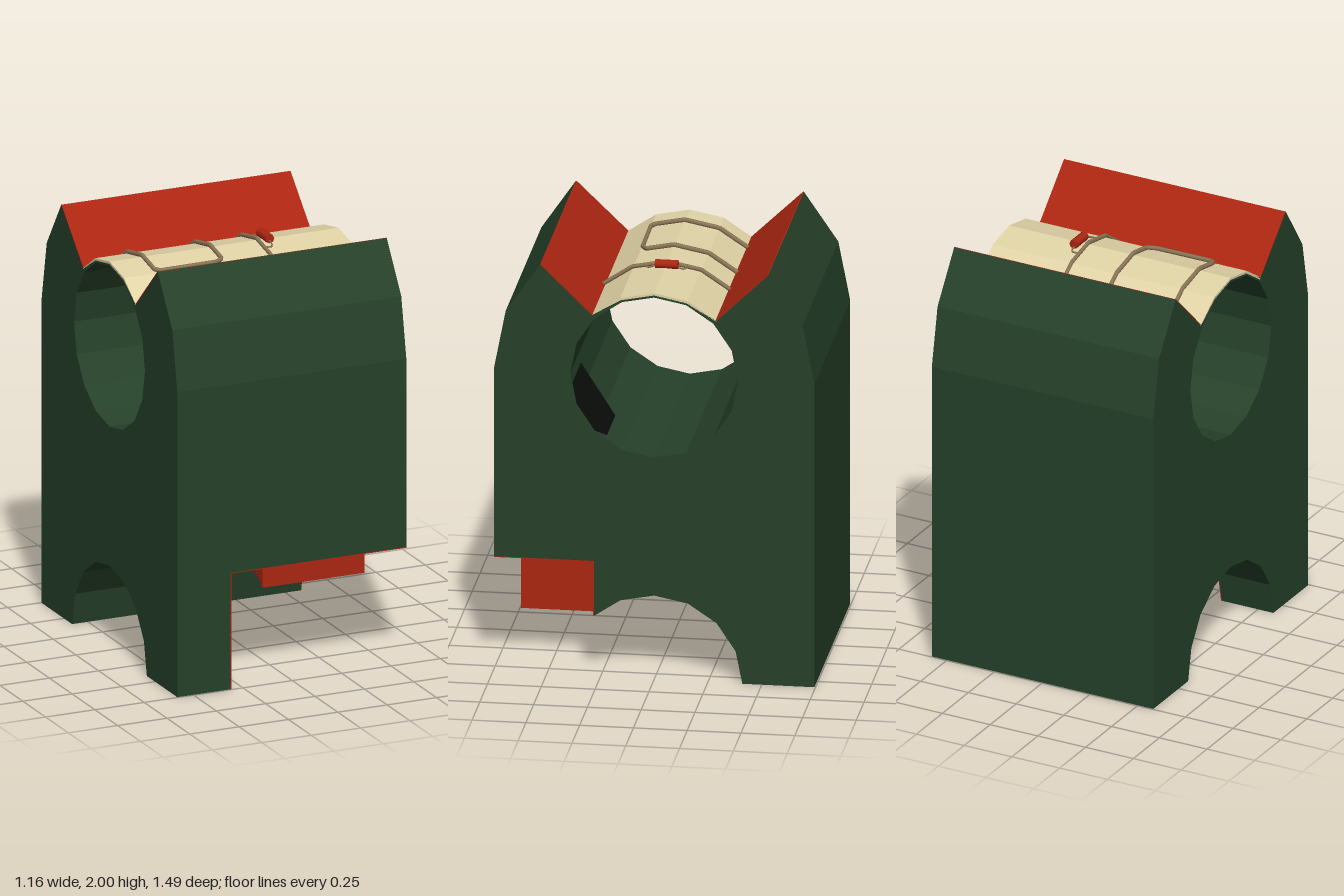
import * as THREE from 'three';

const mat = (name, color) => Object.assign(new THREE.MeshStandardMaterial({ color }), { name });

// Point on a 16-sided circle; u runs towards the back (u = -z)
const ring = (r, cy, i) => new THREE.Vector2(r * Math.cos(i * Math.PI / 8), cy + r * Math.sin(i * Math.PI / 8));
const HALF = 0.58, BORE_Y = 1.475, CEIL = 0.565, ARCH_R = 0.41;

// Height at |z| on a 16-sided arc
function arcHeight(r, cy, z) {
  const a = Math.abs(z);
  for (let i = 4; i > 0; i--) {
    const p = ring(r, cy, i), q = ring(r, cy, i - 1);
    if (a <= q.x) return p.y + (q.y - p.y) * (a - p.x) / (q.x - p.x);
  }
  return cy;
}

export function createModel() {
  const model = new THREE.Group();
  model.name = 'cutawayBlock';
  const green = mat('dark green', 0x26412a);
  const red = mat('cut red', 0xac2611);
  const cream = mat('cream', 0xe0d3a6);
  const brown = mat('wire brown', 0x8c7656);
  const black = mat('black', 0x0b0d0b);

  const add = (name, geo, material) => {
    const m = new THREE.Mesh(geo, material);
    m.name = name;
    model.add(m);
    return m;
  };
  // Extrude a side profile (u, y) from x0 to x1
  const slab = (name, shape, x0, x1, material) => {
    const g = new THREE.ExtrudeGeometry(shape, { depth: x1 - x0, bevelEnabled: false });
    g.translate(0, 0, x0).rotateY(Math.PI / 2);
    return add(name, g, material);
  };
  const poly = pts => new THREE.Shape(pts.map(p => Array.isArray(p) ? new THREE.Vector2(...p) : p));
  const box = (name, x0, x1, y0, y1, z0, z1, material) => {
    const g = new THREE.BoxGeometry(x1 - x0, y1 - y0, z1 - z0);
    return add(name, g.translate((x0 + x1) / 2, (y0 + y1) / 2, (z0 + z1) / 2), material);
  };

  // Side profile of the block; cut is the z where the front notch stops
  const profile = cut => {
    const pts = [[0.41, 0], [0.745, 0], [0.745, 1.48], [0.69, 1.765], [0.53, 2], [0.29, 1.765],
      ring(0.4, BORE_Y, 3), ring(0.4, BORE_Y, 4), ring(0.4, BORE_Y, 5),
      [-0.29, 1.765], [-0.53, 2], [-0.69, 1.765], [-0.745, 1.48]];
    if (cut) pts.push([-0.745, CEIL], [-cut, CEIL], [-cut, arcHeight(ARCH_R, 0, cut)]);
    else pts.push([-0.745, 0], [-0.41, 0]);
    for (let i = 7; i > 0; i--) {
      const p = ring(ARCH_R, 0, i);
      if (!cut || p.x > -cut) pts.push(p);
    }
    const s = poly(pts);
    s.holes.push(new THREE.Path(Array.from({ length: 16 }, (_, i) => ring(0.39, BORE_Y, -i))));
    return s;
  };
  slab('blockWithLeg', profile(0), -HALF, -0.31, green);
  slab('blockMiddle', profile(0.1), -0.31, 0.07, green);
  slab('blockEnd', profile(0.28), 0.07, HALF, green);

  // Red slopes of the open top
  for (const s of [1, -1]) {
    slab(s > 0 ? 'backSlope' : 'frontSlope',
      poly([[s * 0.53, 2], [s * 0.29, 1.765], [s * 0.286, 1.769], [s * 0.526, 2]]), -HALF, HALF, red);
  }

  // Red faces of the front notch
  const t = 0.004;
  const legFace = [[-0.745, 0], [-0.41, 0], ring(ARCH_R, 0, 7), ring(ARCH_R, 0, 6),
    [-0.28, arcHeight(ARCH_R, 0, 0.28)], ring(ARCH_R, 0, 5), [-0.1, 0.39], [-0.1, CEIL], [-0.745, CEIL]];
  slab('legCutFace', poly(legFace), -0.31, -0.31 + t, red);
  box('notchCeilingFront', -0.31, HALF, CEIL - t, CEIL, 0.28, 0.745, red);
  box('notchCeilingBack', -0.31, 0.07, CEIL - t, CEIL, 0.1, 0.28, red);
  box('deepNotchWall', -0.31, 0.07, 0.39, CEIL, 0.1, 0.1 + t, red);
  box('shallowNotchWall', 0.07, HALF, 0.298, CEIL, 0.28, 0.28 + t, red);
  slab('notchStepFace', poly([[-0.28, 0.298], ring(ARCH_R, 0, 5), [-0.1, 0.39], [-0.1, CEIL], [-0.28, CEIL]]),
    0.07 - t, 0.07, red);

  // Dark fittings in the notch
  box('ceilingPlateFront', -0.2, 0.52, 0.553, CEIL, 0.28, 0.465, black);
  box('ceilingPlateBack', -0.2, 0.065, 0.553, CEIL, 0.104, 0.28, black);
  box('cornerBracket', -0.29, -0.23, 0.515, CEIL, 0.104, 0.2, green);

  // Dark wedge on the lower front wall of the bore
  slab('boreWedge', poly([[-0.38, 1.43], ring(0.39, BORE_Y, 9), ring(0.39, BORE_Y, 10), [-0.22, 1.18]]),
    0.3, HALF - 0.005, black);

  // Cream cover over the bore
  const band = [2, 3, 4, 5, 6];
  slab('cover', poly([...band.map(i => ring(0.411, BORE_Y, i)),
    ...band.map(i => ring(0.399, BORE_Y, i)).reverse()]), -HALF, HALF, cream);

  // Wires bent over the cover
  const wire = (name, pts, r) => {
    const path = new THREE.CurvePath();
    const v = pts.map(([x, z, lift = 0]) =>
      new THREE.Vector3(x, arcHeight(0.42, BORE_Y, z) + lift, z));
    for (let i = 1; i < v.length; i++) path.add(new THREE.LineCurve3(v[i - 1], v[i]));
    add(name, new THREE.TubeGeometry(path, 80, r, 6), brown);
  };
  wire('loopWire', [[-0.415, -0.295], [-0.415, -0.16], [-0.415, 0], [-0.415, 0.135], [-0.395, 0.155],
    [-0.11, 0.152], [-0.07, 0.13], [-0.07, 0], [-0.07, -0.16], [-0.07, -0.295]], 0.011);
  wire('straightWire', [[0.165, -0.295], [0.165, -0.16], [0.165, 0], [0.165, 0.16], [0.165, 0.295]], 0.01);
  for (const s of [1, -1]) {
    wire('capsuleLead', [[0.165, s * 0.09], [0.2, s * 0.09], [0.21, s * 0.075], [0.21, s * 0.04, 0.006]], 0.004);
  }

  // Small red capsule
  const capsule = add('capsule', new THREE.CylinderGeometry(0.022, 0.022, 0.106, 8), red);
  capsule.rotation.x = Math.PI / 2;
  capsule.position.set(0.211, 1.899, -0.006);
  return model;
}
